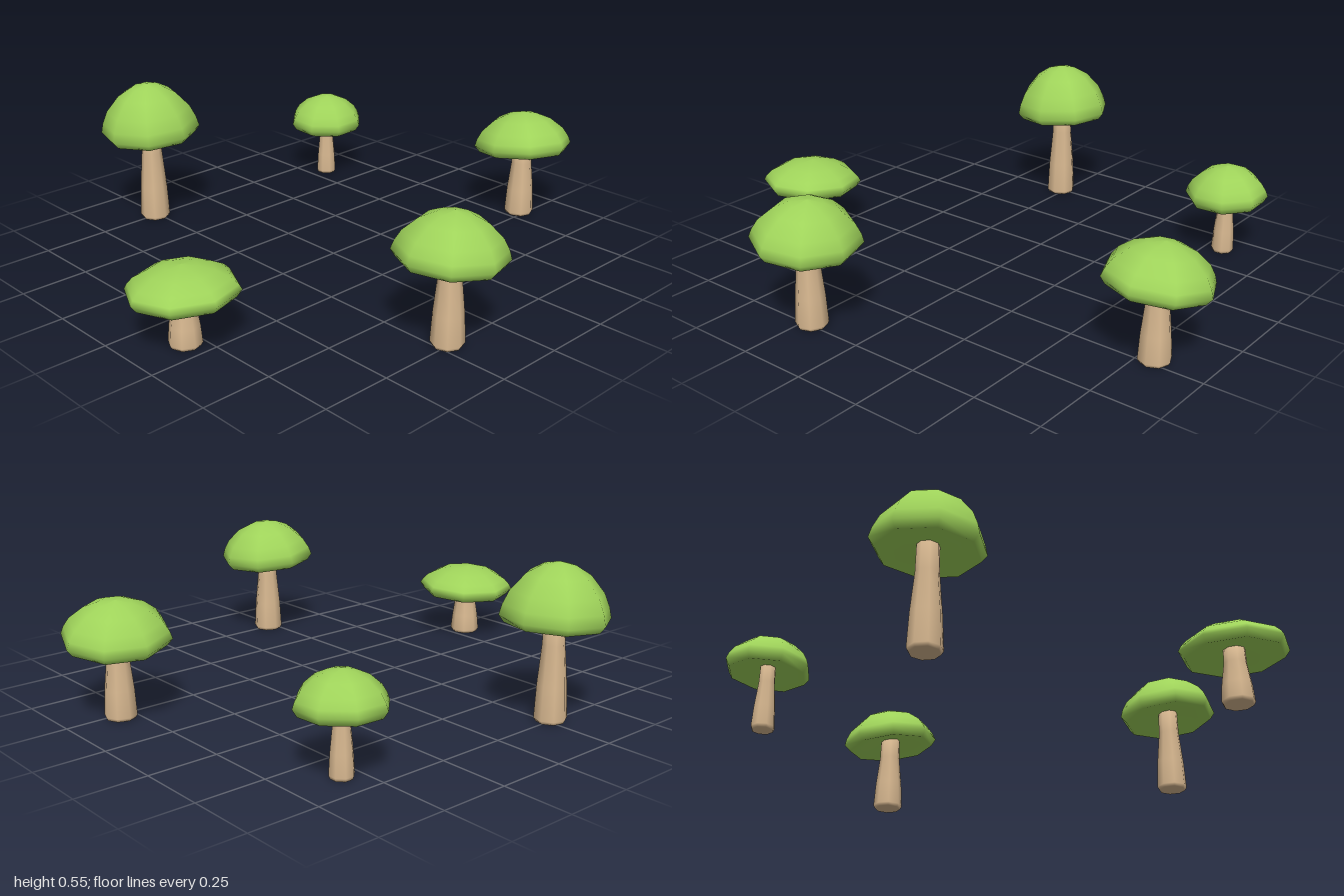
import * as THREE from 'three';

const SIDES = 8;
const capGreen = new THREE.MeshStandardMaterial({ name: 'cap green', color: 0x9fd35a });
const stemTan = new THREE.MeshStandardMaterial({ name: 'stem tan', color: 0xd9b991 });

const lathe = (points) =>
  new THREE.LatheGeometry(points.map(([r, y]) => new THREE.Vector2(r, y)), SIDES);

// Cap around its rim plane: hollow underside, rolled lip, then the dome
function makeCap(radius, dome, lip) {
  const under = [[0, 0.3], [0.22, 0.1], [0.62, -0.6], [0.9, -1]];
  const upper = [[1, 0], [0.95, 0.2], [0.84, 0.45], [0.58, 0.76], [0.3, 0.93], [0, 1]];
  const cap = new THREE.Mesh(lathe([
    ...under.map(([r, y]) => [r * radius, y * lip]),
    ...upper.map(([r, y]) => [r * radius, y * dome]),
  ]), capGreen);
  cap.name = 'cap';
  return cap;
}

// Tapered stem with a slightly rounded foot
function makeStem(base, top, height) {
  const stem = new THREE.Mesh(lathe([
    [0, 0], [base * 0.88, 0], [base, 0.012],
    [base * 0.9, height * 0.35], [top * 1.06, height * 0.72], [top, height], [0, height],
  ]), stemTan);
  stem.name = 'stem';
  return stem;
}

// Positions, rim and peak heights, turn about y (degrees) and cap tilt
const mushrooms = [
  { name: 'tallMushroom', x: -0.265, z: -0.745, radius: 0.188, rim: 0.365, peak: 0.55, turn: 7, tiltX: 0, tiltZ: 0.06 },
  { name: 'frontMushroom', x: -0.213, z: 0.742, radius: 0.188, rim: 0.315, peak: 0.46, turn: -4, tiltX: 0, tiltZ: -0.09 },
  { name: 'shortMushroom', x: -0.81, z: 0.168, radius: 0.188, rim: 0.195, peak: 0.28, turn: -4, tiltX: -0.05, tiltZ: 0 },
  { name: 'leftMushroom', x: 0.808, z: 0.227, radius: 0.188, rim: 0.288, peak: 0.418, turn: 2, tiltX: -0.12, tiltZ: -0.06 },
  { name: 'smallMushroom', x: 0.57, z: -0.64, radius: 0.152, rim: 0.232, peak: 0.345, turn: 22.5, tiltX: 0.04, tiltZ: 0.03 },
];

export function createModel() {
  const model = new THREE.Group();
  model.name = 'mushroomRing';
  for (const m of mushrooms) {
    const mushroom = new THREE.Group();
    mushroom.name = m.name;
    mushroom.position.set(m.x, 0, m.z);

    const size = m.radius < 0.17 ? 0.73 : 1;
    const turn = THREE.MathUtils.degToRad(m.turn);
    const stem = makeStem(0.057 * size, 0.037 * size, m.rim + 0.01);
    stem.rotation.y = turn;

    const cap = makeCap(m.radius, m.peak - m.rim, 0.025);
    cap.rotation.y = turn;
    const tilt = new THREE.Group();
    tilt.name = 'capTilt';
    tilt.position.y = m.rim;
    tilt.rotation.set(m.tiltX, 0, m.tiltZ);
    tilt.add(cap);

    mushroom.add(stem, tilt);
    model.add(mushroom);
  }
  return model;
}
